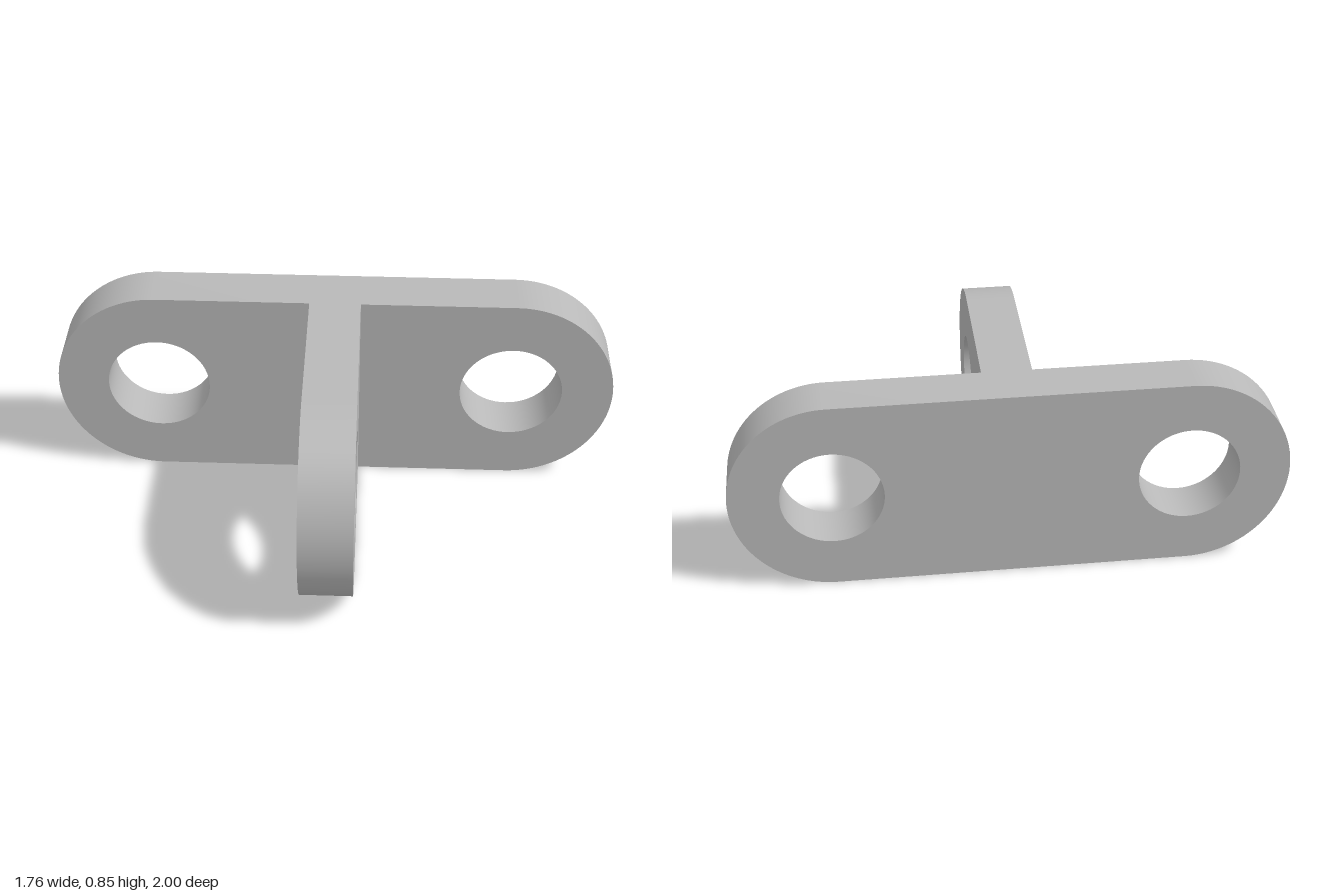
import * as THREE from 'three';
import { toCreasedNormals } from 'three/addons/utils/BufferGeometryUtils.js';

const R = 0.4225;        // end radius, half the height
const HOLE = 0.212;      // hole radius
const T = 0.208;         // plate thickness
const REACH = 0.734;     // distance from the centre to each hole

// Upright plate from x = start to a rounded, drilled end; doubleEnded rounds both ends
function plate(start, doubleEnded) {
  const shape = new THREE.Shape();
  shape.moveTo(start, -R);
  shape.lineTo(REACH, -R);
  shape.absarc(REACH, 0, R, -Math.PI / 2, Math.PI / 2, false);
  shape.lineTo(start, R);
  if (doubleEnded) shape.absarc(start, 0, R, Math.PI / 2, Math.PI * 1.5, false);
  else shape.closePath();

  for (const x of doubleEnded ? [start, REACH] : [REACH]) {
    const hole = new THREE.Path();
    hole.absarc(x, 0, HOLE, 0, Math.PI * 2, true);
    shape.holes.push(hole);
  }
  const geometry = new THREE.ExtrudeGeometry(shape, { depth: T, bevelEnabled: false, curveSegments: 32 });
  geometry.translate(0, R, -T / 2);
  return toCreasedNormals(geometry, 0.5);
}

export function createModel() {
  const grey = new THREE.MeshStandardMaterial({ color: 0xb8b8b8 });
  grey.name = 'grey';

  // Long plate with a hole at each end
  const longPlate = new THREE.Mesh(plate(-REACH, true), grey);
  longPlate.name = 'longPlate';

  // Short plate standing square on the middle of the long one
  const sidePlate = new THREE.Mesh(plate(T / 2, false), grey);
  sidePlate.name = 'sidePlate';
  sidePlate.rotation.y = -Math.PI / 2;

  const bracket = new THREE.Group();
  bracket.name = 'bracket';
  bracket.add(longPlate, sidePlate);
  bracket.rotation.y = THREE.MathUtils.degToRad(-54.13);
  bracket.position.set(0.1175, 0, 0);

  const model = new THREE.Group();
  model.name = 'teeBracket';
  model.add(bracket);
  return model;
}
